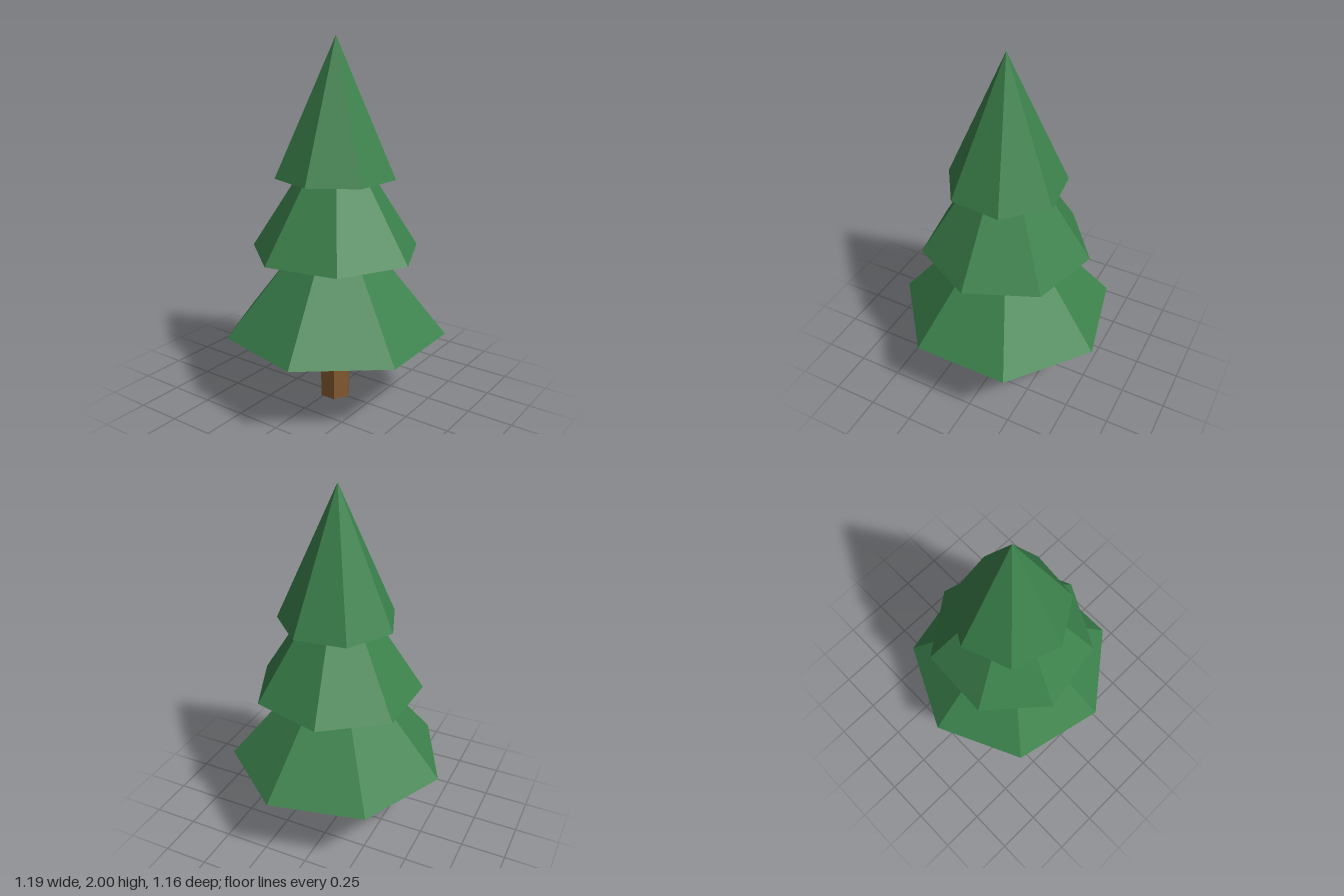
import * as THREE from 'three';

export function createModel() {
  const model = new THREE.Group();
  model.name = 'pineTree';

  const needles = new THREE.MeshStandardMaterial({ color: 0x3c824c, flatShading: true });
  needles.name = 'needle green';
  const bark = new THREE.MeshStandardMaterial({ color: 0x83592f, flatShading: true });
  bark.name = 'bark brown';

  const axisZ = 0.03; // the uneven outline puts the trunk slightly forward

  function add(name, geometry, material, bottom, height, turn) {
    const mesh = new THREE.Mesh(geometry, material);
    mesh.name = name;
    mesh.position.set(0, bottom + height / 2, axisZ);
    mesh.rotation.y = turn;
    model.add(mesh);
  }

  // Six-sided trunk, running up into the lowest tier
  add('trunk', new THREE.CylinderGeometry(0.088, 0.088, 0.5, 6), bark, 0, 0.5, 0);

  // Three seven-sided foliage tiers, each turned differently
  const tiers = [
    ['lowerFoliage', 0.61, 0.412, 0.735, Math.PI],
    ['middleFoliage', 0.467, 0.862, 0.73, -0.04],
    ['upperFoliage', 0.326, 1.27, 0.73, 0.352],
  ];
  for (const [name, radius, bottom, height, turn] of tiers) {
    add(name, new THREE.ConeGeometry(radius, height, 7), needles, bottom, height, turn);
  }

  return model;
}
